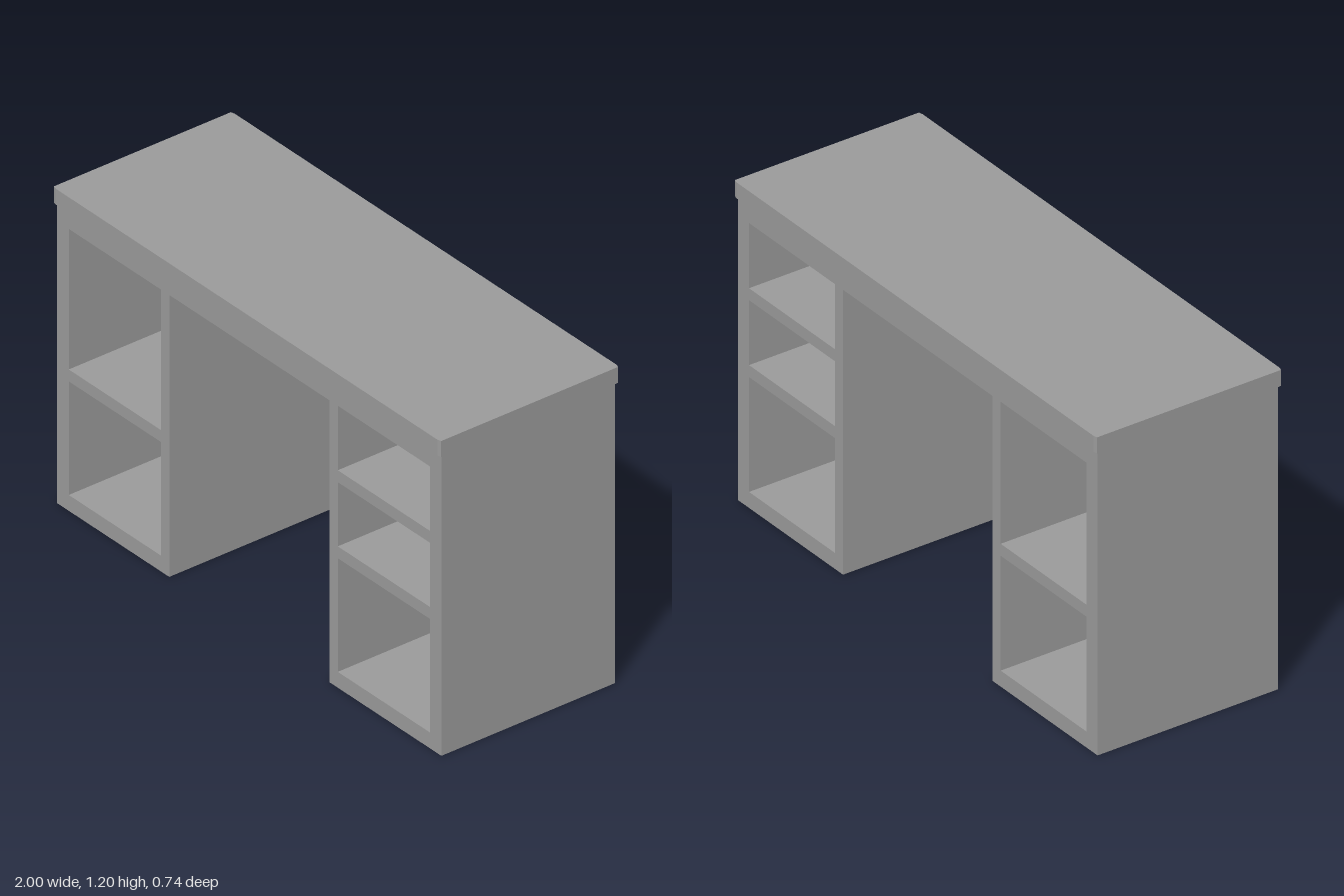
import * as THREE from 'three';

const material = new THREE.MeshStandardMaterial({ color: 0x9b9b9b, flatShading: true });

// Closed polygon from [x, y] corner pairs
const polygon = (points, Type = THREE.Shape) =>
  new Type(points.map(([x, y]) => new THREE.Vector2(x, y)));

const opening = (x0, x1, y0, y1) =>
  polygon([[x0, y0], [x0, y1], [x1, y1], [x1, y0]], THREE.Path);

function addMesh(group, name, geometry) {
  const mesh = new THREE.Mesh(geometry, material);
  mesh.name = name;
  group.add(mesh);
}

export function createModel() {
  const desk = new THREE.Group();
  desk.name = 'desk';

  // Frame: two pedestals joined under the top, open from front to back
  const W = 0.992, KNEE = 0.413, H = 1.138, APRON = 1.067, DEPTH = 0.715;
  const frame = polygon([
    [-W, 0], [-KNEE, 0], [-KNEE, APRON], [KNEE, APRON],
    [KNEE, 0], [W, 0], [W, H], [-W, H],
  ]);

  // Compartments: two on the right pedestal, three on the left
  const inner = 0.457, outer = 0.932;
  for (const [y0, y1] of [[0.06, 0.49], [0.535, APRON]])
    frame.holes.push(opening(-outer, -inner, y0, y1));
  for (const [y0, y1] of [[0.06, 0.49], [0.535, 0.778], [0.823, APRON]])
    frame.holes.push(opening(inner, outer, y0, y1));

  const frameGeometry = new THREE.ExtrudeGeometry(frame, { depth: DEPTH, bevelEnabled: false });
  frameGeometry.translate(0, 0, -DEPTH / 2);
  addMesh(desk, 'pedestalFrame', frameGeometry);

  // Desktop slab with finely clipped vertical corners
  const X = 1, Z = 0.369, cx = 0.015, cz = 0.004, THICK = 0.06;
  const slab = polygon([
    [-X + cx, -Z], [X - cx, -Z], [X, -Z + cz], [X, Z - cz],
    [X - cx, Z], [-X + cx, Z], [-X, Z - cz], [-X, -Z + cz],
  ]);
  const slabGeometry = new THREE.ExtrudeGeometry(slab, { depth: THICK, bevelEnabled: false });
  slabGeometry.rotateX(-Math.PI / 2).translate(0, H, 0);
  addMesh(desk, 'desktop', slabGeometry);

  return desk;
}
